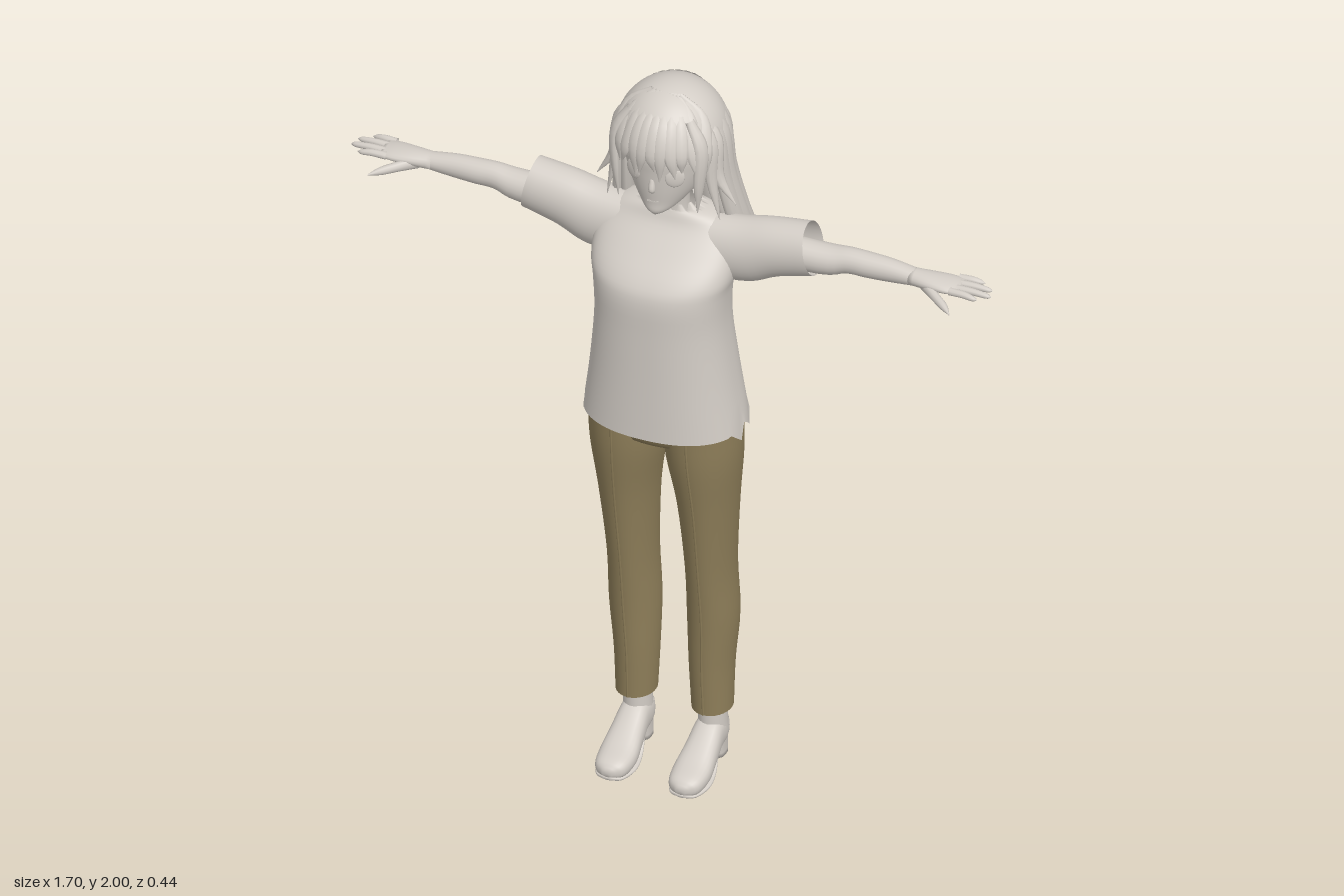
import * as THREE from 'three';

const pale = new THREE.MeshStandardMaterial({ color: 0xd3cdc6, side: THREE.DoubleSide });
pale.name = 'paleGrey';
const olive = new THREE.MeshStandardMaterial({ color: 0x8f7f5a, side: THREE.DoubleSide });
olive.name = 'oliveCloth';

const X = new THREE.Vector3(1, 0, 0), Y = new THREE.Vector3(0, 1, 0), Z = new THREE.Vector3(0, 0, 1);

// Smooth skin over rings [x, y, z, radiusU, radiusV]; V points along ref, U across it.
// axis fixes the ring plane, otherwise rings follow the path.
function loft(rings, { axis, ref = Z, seg = 20, sub = 4, n = 2, cap = false, edge } = {}) {
  const centres = new THREE.CatmullRomCurve3(rings.map(r => new THREE.Vector3(r[0], r[1], r[2])), false, 'catmullrom');
  const radii = new THREE.CatmullRomCurve3(rings.map(r => new THREE.Vector3(r[3], r[4], 0)), false, 'catmullrom');
  const steps = (rings.length - 1) * sub;
  const pos = [], index = [];
  const bend = v => Math.sign(v) * Math.abs(v) ** (2 / n);
  for (let i = 0; i <= steps; i++) {
    const c = centres.getPoint(i / steps), r = radii.getPoint(i / steps);
    const t = axis ? axis.clone().normalize() : centres.getTangent(i / steps);
    const u = t.clone().cross(ref).normalize();
    const v = u.clone().cross(t);
    for (let j = 0; j < seg; j++) {
      const a = j / seg * Math.PI * 2;
      const p = c.clone().addScaledVector(u, bend(Math.sin(a)) * Math.max(r.x, 0.0005))
        .addScaledVector(v, bend(Math.cos(a)) * Math.max(r.y, 0.0005));
      if (edge) p.y += edge(i, steps, a, j);
      pos.push(p.x, p.y, p.z);
      if (i < steps) {
        const k = i * seg + j, l = i * seg + (j + 1) % seg;
        index.push(k, l, l + seg, k, l + seg, k + seg);
      }
    }
  }
  if (cap) {
    for (const i of [0, steps]) {
      const c = centres.getPoint(i / steps), m = pos.length / 3;
      pos.push(c.x, c.y, c.z);
      for (let j = 0; j < seg; j++) {
        const k = i * seg + j, l = i * seg + (j + 1) % seg;
        if (i) index.push(k, l, m); else index.push(l, k, m);
      }
    }
  }
  const g = new THREE.BufferGeometry();
  g.setAttribute('position', new THREE.Float32BufferAttribute(pos, 3));
  g.setIndex(index);
  g.computeVertexNormals();
  return g;
}

export function createModel() {
  const model = new THREE.Group();
  const add = (name, geometry, material = pale) => {
    const mesh = new THREE.Mesh(geometry, material);
    mesh.name = name;
    model.add(mesh);
    return mesh;
  };

  // Shirt body with a ragged back hem and ragged collar
  add('shirtBody', loft([
    [0, 1.05, .072, .207, .153], [0, 1.2, .08, .186, .145], [0, 1.35, .09, .171, .136],
    [0, 1.45, .093, .174, .133], [0, 1.5, .083, .185, .123], [0, 1.56, .058, .187, .094],
    [0, 1.61, .038, .172, .068], [0, 1.64, .035, .125, .056], [0, 1.655, .035, .062, .05],
  ], {
    axis: Y, seg: 96, n: 2.3,
    edge: (i, steps, a, j) => {
      if (i === 0 && Math.cos(a) < .35) return .012 - .045 * (j % 6) / 5;
      if (i === steps) return (j % 8 < 4 ? .012 : -.008);
      return 0;
    },
  }));

  // Trousers: hips
  add('hips', loft([[0, 1.0, .072, .16, .1], [0, 1.04, .075, .193, .113], [0, 1.1, .078, .17, .11]],
    { axis: Y, seg: 40, cap: true }), olive);

  for (const s of [1, -1]) {
    const side = s > 0 ? 'left' : 'right';
    const flip = rings => rings.map(([x, ...rest]) => [x * s, ...rest]);
    const along = new THREE.Vector3(s, 0, 0);

    // Sleeve, arm and hand
    add(side + 'Sleeve', loft(flip([
      [.09, 1.55, .045, .088, .063], [.2, 1.559, .04, .088, .066],
      [.28, 1.583, .037, .078, .064], [.375, 1.601, .035, .071, .06],
    ]), { axis: new THREE.Vector3(s, .2, 0), seg: 32 }));
    add(side + 'Arm', loft(flip([
      [.2, 1.58, .038, .045, .042], [.4, 1.577, .032, .041, .04], [.47, 1.588, .03, .034, .033],
      [.52, 1.588, .03, .033, .032], [.58, 1.588, .03, .03, .029], [.645, 1.588, .033, .022, .025],
    ]), { axis: along }));
    add(side + 'Palm', loft(flip([
      [.635, 1.588, .033, .022, .025], [.69, 1.59, .035, .019, .034],
      [.735, 1.59, .033, .015, .039], [.768, 1.589, .031, .01, .035],
    ]), { axis: along, cap: true }));
    [[-.003, -.008, .815], [.02, .016, .845], [.043, .042, .852], [.061, .066, .825]].forEach(([z0, z1, tip], i) =>
      add(side + 'Finger' + (i + 1), loft(flip([
        [.75, 1.59, z0, .01, .011], [(tip + .75) / 2, 1.591, (z0 + z1) / 2, .009, .0095],
        [tip - .012, 1.588, z1, .007, .007], [tip, 1.587, z1, .001, .001],
      ]), { seg: 10 })));
    add(side + 'Thumb', loft(flip([
      [.675, 1.583, .045, .014, .018], [.715, 1.576, .075, .012, .013],
      [.75, 1.569, .1, .01, .01], [.775, 1.565, .123, .001, .001],
    ]), { ref: Y, seg: 10 }));

    // Trouser leg with a front crease
    const leg = flip([
      [.101, .165, .02, .051, .06], [.1, .3, .02, .056, .069], [.104, .44, .02, .063, .08],
      [.104, .6, .035, .061, .086], [.105, .8, .053, .074, .1], [.101, .95, .068, .094, .112],
      [.099, 1.06, .075, .099, .115],
    ]);
    add(side + 'TrouserLeg', loft(leg, { axis: Y, seg: 32 }), olive);
    add(side + 'TrouserCrease', loft(leg.map(([x, y, z, , rz]) => [x, y, z + rz - .001, .003, .003]),
      { axis: Y, seg: 6 }), olive);

    // Heeled shoe
    add(side + 'Ankle', loft(flip([
      [.1, .09, .012, .037, .044], [.1, .135, .015, .036, .042], [.1, .25, .018, .036, .04],
    ]), { axis: Y }));
    add(side + 'Shoe', loft(flip([
      [.099, .085, -.036, .022, .026], [.099, .087, -.005, .036, .046], [.099, .083, .04, .039, .05],
      [.099, .057, .09, .044, .043], [.098, .034, .145, .049, .033], [.098, .026, .195, .04, .025],
      [.098, .023, .215, .013, .01],
    ]), { axis: Z, ref: Y, n: 2.4, seg: 24, cap: true }));
    add(side + 'Sole', loft(flip([
      [.098, .04, .06, .036, .006], [.098, .01, .1, .045, .008], [.098, .006, .15, .05, .007],
      [.098, .007, .2, .036, .006], [.098, .009, .215, .01, .004],
    ]), { axis: Z, ref: Y, n: 3, cap: true }));
    add(side + 'Heel', loft(flip([
      [.099, 0, -.011, .025, .027], [.099, .05, -.006, .027, .028], [.099, .09, -.002, .032, .033],
    ]), { axis: Y, n: 3, cap: true }));

    // Eye and ear
    const eye = add(side + 'Eye', new THREE.SphereGeometry(1, 20, 12));
    eye.scale.set(.025, .027, .006);
    eye.position.set(.055 * s, 1.795, .148);
    eye.rotation.y = .5 * s;
    const ear = add(side + 'Ear', new THREE.SphereGeometry(1, 14, 10));
    ear.scale.set(.012, .035, .022);
    ear.position.set(.112 * s, 1.78, .03);

    // Loose locks beside the face, the outer one flicking outward
    const out = new THREE.Vector3(s, 0, .6);
    [[.125, .13, .15, 1.66, .09], [.13, .14, .185, 1.7, .07], [.115, .112, .105, 1.69, .125]].forEach(([x0, x1, x2, y, z], i) =>
      add(side + 'FaceLock' + (i + 1), loft(flip([
        [.08, 1.95, z - .01, .012, .008], [x0, 1.88, z, .02, .012],
        [x1, 1.78, z + .005, .016, .01], [x2, y, z, .001, .001],
      ]), { ref: out, seg: 10 })));
  }

  // Neck, head and small facial features
  add('neck', loft([[0, 1.58, .03, .052, .045], [0, 1.65, .035, .044, .042], [0, 1.74, .045, .046, .045]], { axis: Y }));
  add('head', loft([
    [0, 1.672, .133, .008, .014], [0, 1.685, .115, .034, .041], [0, 1.71, .085, .062, .072],
    [0, 1.75, .055, .091, .107], [0, 1.8, .042, .111, .124], [0, 1.85, .04, .117, .128],
    [0, 1.92, .035, .1, .11], [0, 1.965, .035, .03, .04],
  ], { axis: Y, seg: 36, cap: true }));
  add('nose', loft([[0, 1.79, .16, .006, .004], [0, 1.757, .164, .009, .011], [0, 1.742, .156, .004, .004]],
    { axis: Y, seg: 10, cap: true }));
  add('mouth', new THREE.BoxGeometry(.03, .004, .006)).position.set(0, 1.717, .155);

  // Hair: cap over the skull
  const skullCap = add('hairCap', new THREE.SphereGeometry(1, 40, 20, 0, Math.PI * 2, 0, Math.PI * .53));
  skullCap.scale.set(.14, .142, .147);
  skullCap.position.set(0, 1.857, .036);

  // Fringe locks
  [-.12, -.095, -.07, -.045, -.022, .004, .028, .052, .076, .1, .122].forEach((x, i) => {
    const z = .036 + .148 * Math.sqrt(1 - (x / .145) ** 2);
    add('fringeLock' + (i + 1), loft([
      [x * .3, 1.99, .075, .008, .004], [x * .8, 1.94, z - .035, .017, .008],
      [x, 1.87, z - .004, .018, .008], [x * 1.08 + (i % 2 ? .008 : -.006), 1.79 + (i % 3) * .014, z - .008, .001, .001],
    ], { ref: new THREE.Vector3(x, 0, .12), seg: 10 }));
  });

  // Long back hair: two layers of tapering locks fanned around the head
  const fall = [ // y, centre z, radius z, radius x, lock width, lock depth
    [1.965, .03, .085, .08, .015, .006], [1.88, .03, .13, .13, .026, .012], [1.75, .018, .122, .142, .027, .014],
    [1.6, -.022, .117, .16, .027, .016], [1.46, -.078, .107, .18, .024, .015], [1.36, -.107, .107, .192, .003, .003],
  ];
  for (const [layer, count, shrink] of [['outer', 15, 1], ['inner', 14, .87]]) {
    for (let i = 0; i < count; i++) {
      const a = ((i + .5) / count - .5) * 3.75;
      const lift = (i % 3) * .012;
      add(layer + 'BackLock' + (i + 1), loft(fall.map(([y, cz, rz, rx, w, d], k) => [
        Math.sin(a) * rx * shrink, y + (k === 5 ? lift : 0), cz - Math.cos(a) * rz * shrink, w, d,
      ]), { ref: new THREE.Vector3(Math.sin(a), 0, -Math.cos(a)), seg: 10 }));
    }
  }
  return model;
}
